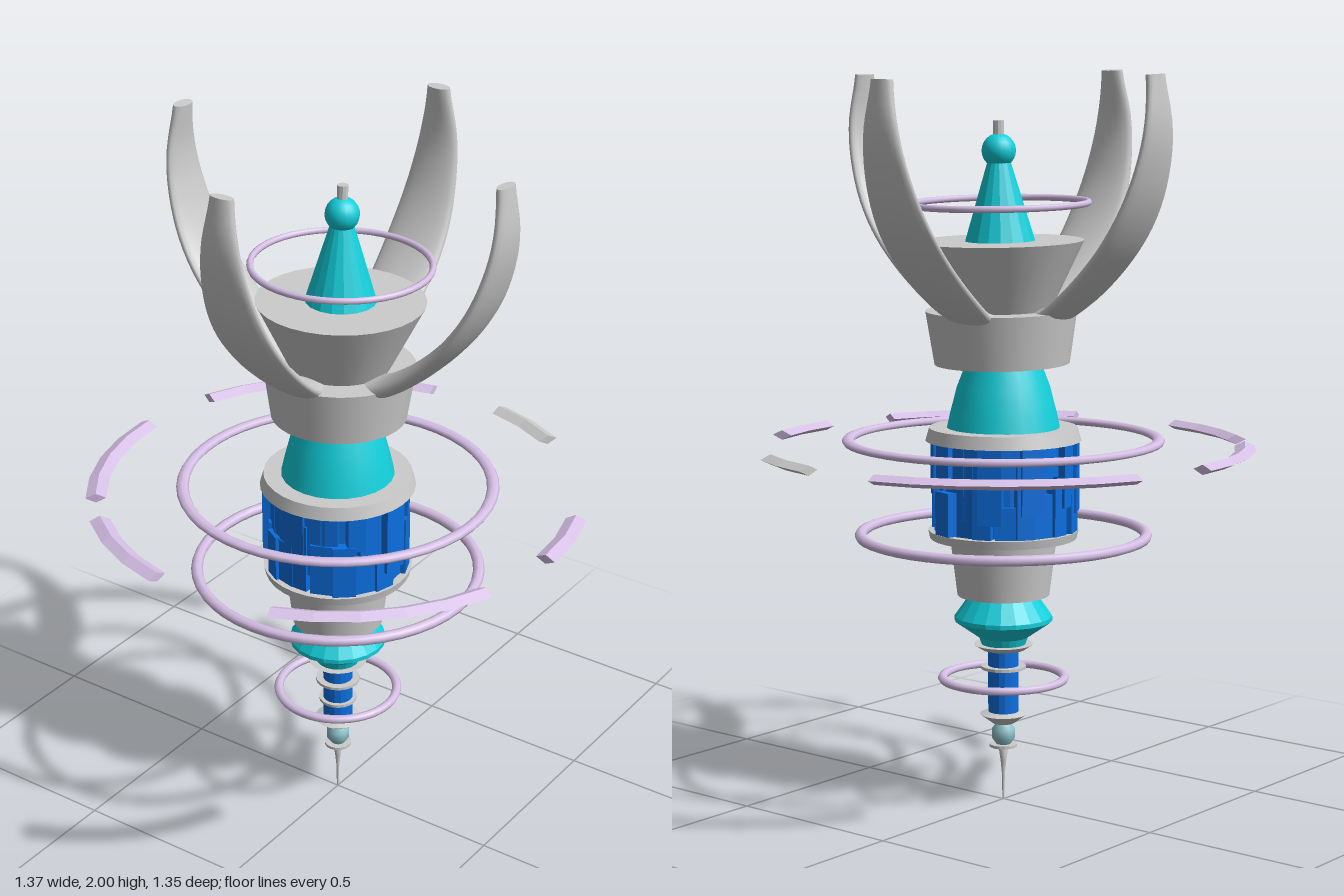
import * as THREE from 'three';

const mat = (color, opts = {}) => new THREE.MeshStandardMaterial({ color, ...opts });
const grey = mat(0xcccccc);
const greyFlat = mat(0xcccccc, { flatShading: true });
const cyan = mat(0x12d0dc);
const cyanFlat = mat(0x12d0dc, { flatShading: true });
const blue = mat(0x0b6fe0, { flatShading: true });
const lilac = mat(0xd6c0e6);
const lilacFlat = mat(0xd6c0e6, { flatShading: true, side: THREE.DoubleSide });
const greyArc = mat(0xcccccc, { flatShading: true, side: THREE.DoubleSide });
const pale = mat(0x8fc4cc);

function add(parent, name, geometry, material, y = 0) {
  const mesh = new THREE.Mesh(geometry, material);
  mesh.name = name;
  mesh.position.y = y;
  parent.add(mesh);
  return mesh;
}

// Frustum between two heights
function drum(parent, name, rBottom, rTop, y0, y1, material, sides = 32) {
  return add(parent, name, new THREE.CylinderGeometry(rTop, rBottom, y1 - y0, sides), material, (y0 + y1) / 2);
}

function turned(parent, name, profile, material, sides = 20) {
  const pts = profile.map(([r, y]) => new THREE.Vector2(r, y));
  return add(parent, name, new THREE.LatheGeometry(pts, sides), material);
}

// Horizontal ring given by outer radius, radial half width and half height
function ring(parent, name, outer, half, halfHeight, y) {
  const g = new THREE.TorusGeometry(outer - half, half, 8, 48).rotateX(Math.PI / 2);
  g.scale(1, halfHeight / half, 1);
  return add(parent, name, g, lilac, y);
}

// Diamond-section arc, angles in degrees from +x towards +z
function arc(parent, from, to, material) {
  const group = new THREE.Group();
  group.name = 'orbitArc';
  const radius = 0.655, half = 0.028, a = THREE.MathUtils.degToRad(from), b = THREE.MathUtils.degToRad(to);
  const shape = (g) => g.rotateX(Math.PI / 2).scale(1, 0.48, 1);
  const steps = Math.max(2, Math.round((to - from) / 10));
  add(group, 'arcBar', shape(new THREE.TorusGeometry(radius, half, 4, steps, b - a).rotateZ(a)), material);
  for (const end of [a, b]) {
    const cap = new THREE.CircleGeometry(half, 4).rotateX(Math.PI / 2).translate(radius, 0, 0).rotateZ(end);
    add(group, 'arcEnd', shape(cap), material);
  }
  group.position.y = 0.987;
  parent.add(group);
}

// Curved claw reaching out along +x: elliptical sections along a centre line
function clawGeometry() {
  const line = new THREE.CatmullRomCurve3([
    [0.11, 1.335], [0.17, 1.355], [0.275, 1.43], [0.385, 1.545],
    [0.455, 1.66], [0.495, 1.78], [0.506, 1.87], [0.497, 1.985],
  ].map(([x, y]) => new THREE.Vector3(x, y, 0)));
  const widths = new THREE.SplineCurve([
    [0, 0.06], [0.08, 0.085], [0.2, 0.092], [0.4, 0.09], [0.6, 0.077], [0.8, 0.058], [1, 0.034],
  ].map(([t, w]) => new THREE.Vector2(t, w)));
  const rows = 28, sides = 20, pos = [], index = [];
  for (let i = 0; i <= rows; i++) {
    const t = i / rows, p = line.getPointAt(t), d = line.getTangentAt(t);
    const w = widths.getPoint(t).y, h = 0.027 - 0.009 * t;
    for (let j = 0; j < sides; j++) {
      const a = (j / sides) * Math.PI * 2, n = Math.cos(a) * h;
      pos.push(p.x - d.y * n, p.y + d.x * n, Math.sin(a) * w);
    }
  }
  for (let i = 0; i < rows; i++) {
    for (let j = 0; j < sides; j++) {
      const a = i * sides + j, b = i * sides + ((j + 1) % sides);
      index.push(a, b, a + sides, b, b + sides, a + sides);
    }
  }
  // End caps get their own vertices so their edges stay sharp
  for (const [row, flip] of [[0, true], [rows, false]]) {
    const start = pos.length / 3;
    pos.push(...pos.slice(row * sides * 3, (row + 1) * sides * 3));
    for (let j = 1; j < sides - 1; j++) {
      index.push(start, start + (flip ? j + 1 : j), start + (flip ? j : j + 1));
    }
  }
  const g = new THREE.BufferGeometry();
  g.setAttribute('position', new THREE.Float32BufferAttribute(pos, 3));
  g.setIndex(index);
  g.computeVertexNormals();
  return g;
}

// Irregular blocks packed around the core
function buildCore(parent) {
  const core = new THREE.Group();
  core.name = 'blockCore';
  drum(core, 'coreDrum', 0.168, 0.168, 0.75, 1.01, blue, 24);
  let seed = 7;
  const rnd = () => (seed = (seed * 16807) % 2147483647) / 2147483647;
  const count = 20;
  for (let row = 0; row < 2; row++) {
    for (let i = 0; i < count; i++) {
      const a = ((i + row * 0.5 + rnd() * 0.3) / count) * Math.PI * 2;
      const height = 0.08 + rnd() * 0.13, reach = 0.178 + rnd() * 0.026;
      const block = add(core, 'coreBlock', new THREE.BoxGeometry(0.045 + rnd() * 0.03, height, 0.08), blue,
        row ? 1.005 - height / 2 : 0.76 + height / 2);
      block.position.x = Math.sin(a) * (reach - 0.04);
      block.position.z = Math.cos(a) * (reach - 0.04);
      block.rotation.y = a;
    }
  }
  parent.add(core);
}

export function createModel() {
  const model = new THREE.Group();
  model.name = 'spaceStation';

  // Needle and lower mast
  turned(model, 'needle', [[0, 0], [0.003, 0.005], [0.004, 0.07], [0.008, 0.11], [0.014, 0.15], [0, 0.15]], grey, 12);
  drum(model, 'needleDisc', 0.038, 0.038, 0.15, 0.158, greyFlat, 16);
  turned(model, 'bead', [[0.018, 0.155], [0.032, 0.175], [0.032, 0.2], [0.018, 0.218]], pale, 16);
  drum(model, 'mastFoot', 0.03, 0.065, 0.217, 0.243, greyFlat, 20);
  drum(model, 'mastFootTop', 0.065, 0.045, 0.243, 0.25, greyFlat, 20);
  drum(model, 'mast', 0.042, 0.042, 0.245, 0.435, blue, 16);
  for (const [y, r] of [[0.31, 0.053], [0.375, 0.062]]) drum(model, 'mastDisc', r, r, y - 0.004, y + 0.004, greyFlat, 20);
  drum(model, 'mastCap', 0.06, 0.082, 0.425, 0.44, greyFlat, 20);
  ring(model, 'lowerRing', 0.18, 0.013, 0.011, 0.345);

  // Spinning-top section and lower hull
  turned(model, 'lowerBulb', [[0, 0.438], [0.06, 0.438], [0.068, 0.46], [0.134, 0.506], [0.134, 0.518], [0.09, 0.58]], cyanFlat);
  drum(model, 'lowerHull', 0.126, 0.146, 0.578, 0.74, grey);
  drum(model, 'corePlate', 0.2, 0.205, 0.737, 0.76, grey);
  ring(model, 'middleRing', 0.405, 0.016, 0.014, 0.745);

  // Core and the rings around it
  buildCore(model);
  ring(model, 'upperRing', 0.438, 0.017, 0.011, 1.005);
  for (const [from, to] of [[20.3, 70], [99.8, 129.8], [140.3, 180], [200.3, 260.3], [-20.2, 0]]) arc(model, from, to, lilacFlat);
  arc(model, -80, -60.5, greyArc);
  drum(model, 'coreCap', 0.212, 0.202, 1.005, 1.04, grey);
  turned(model, 'upperCone', [[0.155, 1.035], [0.145, 1.08], [0.127, 1.15], [0.1, 1.22]], cyan, 24);

  // Slightly tilted head
  const head = new THREE.Group();
  head.name = 'head';
  head.position.y = 1;
  head.rotation.x = -0.025;
  const top = new THREE.Group();
  top.name = 'headParts';
  top.position.y = -1;
  head.add(top);
  model.add(head);
  drum(top, 'collar', 0.183, 0.205, 1.215, 1.36, grey);
  drum(top, 'dish', 0.13, 0.226, 1.35, 1.545, grey);
  ring(top, 'topRing', 0.247, 0.009, 0.009, 1.645);
  drum(top, 'spire', 0.095, 0.03, 1.545, 1.76, cyanFlat, 18);
  add(top, 'spireBall', new THREE.SphereGeometry(0.046, 18, 12), cyan, 1.785);
  drum(top, 'spireTip', 0.015, 0.015, 1.82, 1.865, greyFlat, 10);

  // Four claws
  const claw = clawGeometry();
  [[0, 0, 0.024], [Math.PI, 0, 0.024], [-Math.PI / 2, -0.007, 0], [Math.PI / 2, -0.035, 0]].forEach(([turn, x, z]) => {
    const mesh = add(top, 'claw', claw, grey);
    mesh.rotation.y = turn;
    mesh.position.set(x, 0, z);
  });
  return model;
}
